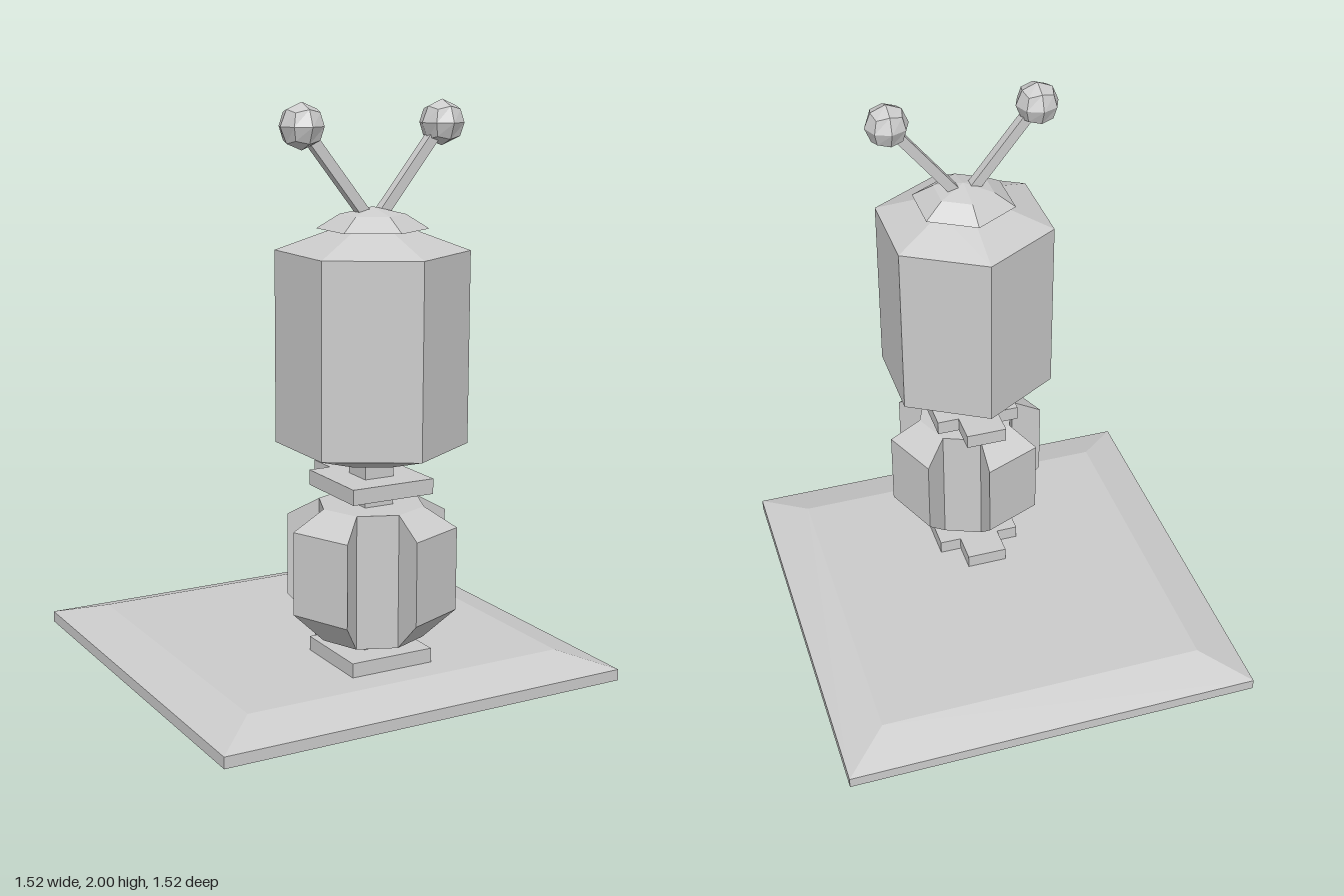
import * as THREE from 'three';
import { ConvexGeometry } from 'three/addons/geometries/ConvexGeometry.js';

const Z = 0.345; // depth of the figure's axis on the base

export function createModel() {
  const model = new THREE.Group();
  const mat = new THREE.MeshStandardMaterial({ color: 0xcccccc, flatShading: true });
  const shellMat = mat.clone();
  shellMat.side = THREE.DoubleSide;

  const figure = new THREE.Group();
  figure.name = 'figure';
  figure.position.z = Z;
  model.add(figure);

  const add = (name, geo, parent = figure, material = mat) => {
    const mesh = new THREE.Mesh(geo, material);
    mesh.name = name;
    parent.add(mesh);
    return mesh;
  };
  // faceted solid of revolution from [radius, height] pairs, bottom to top
  const lathe = (pts, sides) =>
    new THREE.LatheGeometry(pts.map(([r, y]) => new THREE.Vector2(r, y)), sides);

  // bevelled base plate, hollow underneath
  const k = Math.SQRT2;
  add('base', lathe([[0.76 * k, 0], [0.76 * k, 0.04], [0.6 * k, 0.09], [0, 0.09]], 4)
    .rotateY(Math.PI / 4), model, shellMat);

  // flat square plates with a tab at the back
  const plate = new THREE.Shape([
    [-0.155, -0.15], [0.155, -0.15], [0.155, 0.155], [0.075, 0.155],
    [0.075, 0.265], [-0.075, 0.265], [-0.075, 0.155], [-0.155, 0.155],
  ].map(([x, y]) => new THREE.Vector2(x, y)));
  for (const [name, y, h] of [['footPlate', 0.09, 0.05], ['neckPlate', 0.69, 0.053]]) {
    add(name, new THREE.ExtrudeGeometry(plate, { depth: h, bevelEnabled: false })
      .rotateX(-Math.PI / 2)).position.y = y;
  }

  // square posts joining plates, body and head
  for (const [name, y0, y1] of [['footPost', 0.09, 0.19], ['neckPost', 0.64, 0.81]]) {
    add(name, new THREE.BoxGeometry(0.11, y1 - y0, 0.11)).position.y = (y0 + y1) / 2;
  }

  // octagonal body core with four raised, chamfered sectors
  add('bodyCore', lathe([[0, 0.18], [0.185, 0.18], [0.185, 0.645], [0, 0.645]], 8));
  const rib = [[0.185, 0.18], [0.3, 0.29], [0.3, 0.58], [0.185, 0.645]];
  const ribPoints = [0, Math.PI / 4].flatMap((a) =>
    rib.map(([r, y]) => new THREE.Vector3(r * Math.sin(a), y, r * Math.cos(a))));
  for (let i = 0; i < 4; i++) {
    add('bodyRib', new ConvexGeometry(ribPoints)).rotation.y = i * Math.PI / 2;
  }

  // hexagonal head and its cap
  add('head', lathe([[0, 0.795], [0.125, 0.795], [0.325, 0.855], [0.325, 1.51],
    [0.12, 1.585], [0, 1.585]], 6));
  add('cap', lathe([[0, 1.582], [0.187, 1.582], [0.11, 1.63], [0, 1.655]], 6));

  // antennae: square rods ending in faceted balls
  const ballGeo = new THREE.BoxGeometry(1, 1, 1, 2, 2, 2);
  const p = ballGeo.attributes.position;
  const v = new THREE.Vector3();
  for (let i = 0; i < p.count; i++) {
    v.fromBufferAttribute(p, i).setLength(0.077);
    p.setXYZ(i, v.x, v.y, v.z);
  }
  for (const side of [-1, 1]) {
    const from = new THREE.Vector3(side * 0.035, 1.635, 0);
    const to = new THREE.Vector3(side * 0.265, 1.923, 0);
    const rod = add('antennaRod', new THREE.BoxGeometry(0.036, from.distanceTo(to), 0.036));
    rod.position.copy(from).lerp(to, 0.5);
    rod.rotation.z = -Math.atan2(to.x - from.x, to.y - from.y);
    add('antennaBall', ballGeo).position.copy(to);
  }
  return model;
}
